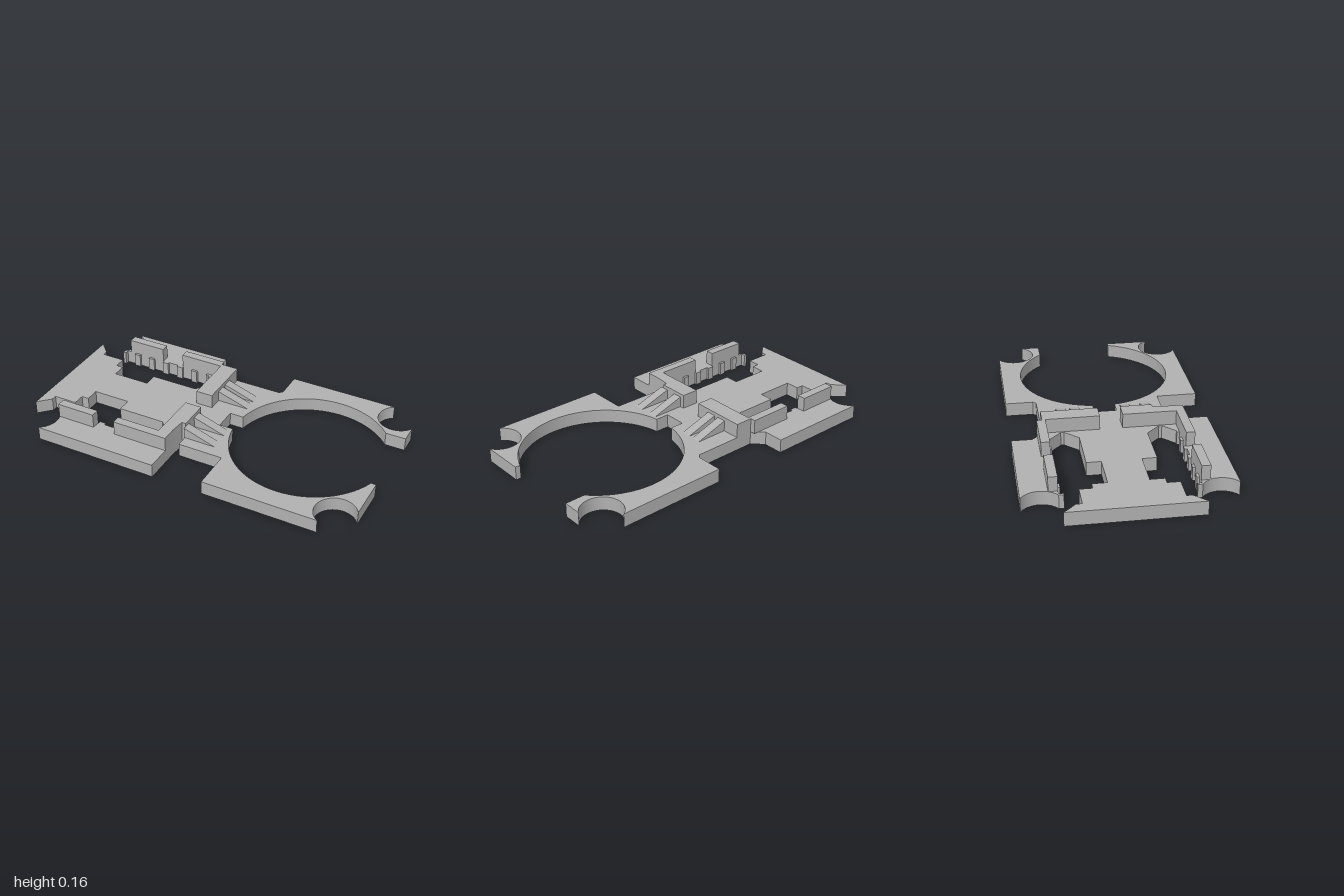
import * as THREE from 'three';
import { toCreasedNormals } from 'three/addons/utils/BufferGeometryUtils.js';

const BASE = 0.078, TOP = 0.16;

// points on a circle in the ground plane, as [x, z], angles in degrees
function arc(cx, cz, r, from, to, n) {
  const pts = [];
  for (let i = 0; i <= n; i++) {
    const a = THREE.MathUtils.degToRad(from + (to - from) * i / n);
    pts.push([cx + r * Math.cos(a), cz + r * Math.sin(a)]);
  }
  return pts;
}

const mirrorZ = pts => pts.map(([x, z]) => [x, -z]).reverse();

// upright prism over an outline of [x, z] points
function prism(pts, y0, y1) {
  const shape = new THREE.Shape(pts.map(([x, z]) => new THREE.Vector2(x, -z)));
  const geo = new THREE.ExtrudeGeometry(shape, { depth: y1 - y0, bevelEnabled: false });
  geo.rotateX(-Math.PI / 2);
  geo.translate(0, y0, 0);
  return toCreasedNormals(geo, Math.PI / 7);
}

const rect = (x0, x1, z0, z1) => [[x0, z0], [x1, z0], [x1, z1], [x0, z1]];

// toothed slot on the back side, from the tail to the scalloped corner
function slotOutline() {
  const pts = [
    [-1, -0.356], [-0.932, -0.288], [-0.932, -0.257], [-0.795, -0.257],
    [-0.795, -0.187], [-0.752, -0.187], [-0.752, -0.107], [-0.535, -0.107],
    [-0.535, -0.187], [-0.258, -0.187], [-0.185, -0.262], [-0.185, -0.28],
    [-0.255, -0.347], [-0.27, -0.347], [-0.27, -0.361],
  ];
  for (let i = 0; i < 5; i++) {
    const x = -0.333 - i * 0.0985;
    pts.push([x, -0.361], [x, -0.347], [x - 0.037, -0.347], [x - 0.037, -0.361]);
  }
  pts.push([-0.822, -0.361], [-0.822, -0.335], [-0.84, -0.335]);
  return pts.concat(arc(-0.9, -0.455, 0.113, 56, -59, 18));
}

export function createModel() {
  const group = new THREE.Group();
  const grey = new THREE.MeshStandardMaterial({ color: 0xb0b0b0 });
  grey.name = 'grey plastic';
  const add = (name, geo) => {
    const mesh = new THREE.Mesh(geo, grey);
    mesh.name = name;
    group.add(mesh);
  };

  // base plate with two slots, four corner scallops and the open ring
  const slot = slotOutline();
  const scallop = arc(0.9, -0.455, 0.114, 239, 29, 28);
  const outline = [
    ...slot,
    [-0.84, -0.5535], [-0.24, -0.5535], [-0.24, -0.44], [-0.18, -0.38],
    [0.195, -0.38], [0.213, -0.398], [0.213, -0.5535], [0.84, -0.5535],
    ...scallop,
    [1, -0.4], [1, -0.294],
    ...arc(0.557, 0, 0.441, -41.8, -171.8, 48),
    [0.04, -0.063], [0.04, 0.063],
    ...arc(0.557, 0, 0.441, 171.8, 20.2, 56),
    [1, 0.153], [1, 0.4],
    ...mirrorZ(scallop),
    [0.84, 0.5535], [0.187, 0.5535], [0.187, 0.325], [-0.075, 0.325],
    [-0.075, 0.24], [-0.102, 0.24], [-0.11, 0.325], [-0.11, 0.5535], [-0.84, 0.5535],
    ...mirrorZ(slot),
  ];
  add('basePlate', prism(outline, 0, BASE));

  // short guide walls near the tail
  add('backGuideWall', prism(rect(-0.797, -0.57, -0.41, -0.361), BASE, TOP));
  add('frontGuideWall', prism(rect(-0.797, -0.57, 0.361, 0.41), BASE, TOP));

  // L-shaped walls around the inner slot ends
  add('backCornerWall', prism([
    [-0.435, -0.41], [-0.18, -0.41], [-0.18, -0.38], [-0.078, -0.38],
    [-0.078, -0.063], [-0.177, -0.063], [-0.177, -0.361], [-0.435, -0.361],
  ], BASE, TOP));
  add('frontCornerWall', prism([
    [-0.435, 0.361], [-0.177, 0.361], [-0.177, 0.063], [-0.078, 0.063],
    [-0.078, 0.24], [-0.102, 0.24], [-0.11, 0.325], [-0.11, 0.41], [-0.435, 0.41],
  ], BASE, TOP));

  // sloping support ribs behind the cross walls
  const wedge = new THREE.Shape([
    new THREE.Vector2(-0.079, BASE - 0.005), new THREE.Vector2(0.125, BASE - 0.005),
    new THREE.Vector2(-0.079, 0.14),
  ]);
  for (const [z0, z1] of [[-0.278, -0.224], [-0.199, -0.145], [0.09, 0.144], [0.205, 0.258]]) {
    const geo = new THREE.ExtrudeGeometry(wedge, { depth: z1 - z0, bevelEnabled: false });
    geo.translate(0, 0, z0);
    add('supportRib', geo);
  }
  return group;
}
